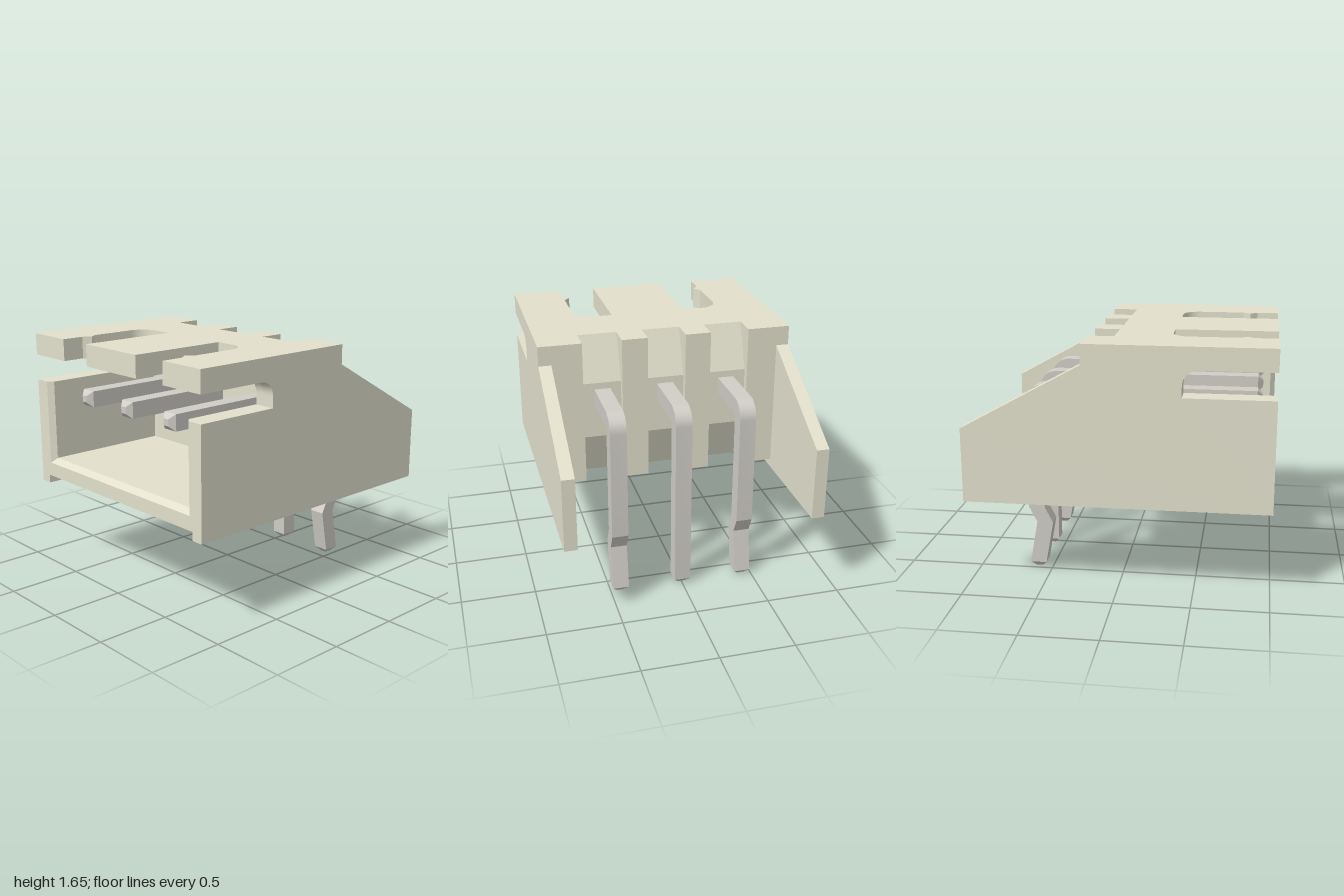
import * as THREE from 'three';
import { toCreasedNormals } from 'three/addons/utils/BufferGeometryUtils.js';

const plastic = new THREE.MeshStandardMaterial({ color: 0xe2e0cc });
const metal = new THREE.MeshStandardMaterial({ color: 0xd0cdc6 });

// points along an arc, angles in quarter turns
function arc(cx, cy, r, q0, q1, n = 10) {
  return Array.from({ length: n + 1 }, (_, i) => {
    const a = (q0 + (q1 - q0) * i / n) * Math.PI / 2;
    return [cx + r * Math.cos(a), cy + r * Math.sin(a)];
  });
}

function extrude(points, depth) {
  const shape = new THREE.Shape(points.map(p => new THREE.Vector2(p[0], p[1])));
  return new THREE.ExtrudeGeometry(shape, { depth, bevelEnabled: false });
}

// (z, y) outline extruded from x0 to x1
function alongX(points, x0, x1) {
  const g = extrude(points, x1 - x0).rotateY(-Math.PI / 2).translate(x1, 0, 0);
  return toCreasedNormals(g, 0.3);
}

// (x, z) outline extruded from y0 to y1
function alongY(points, y0, y1) {
  const g = extrude(points.map(([x, z]) => [x, -z]), y1 - y0).rotateX(-Math.PI / 2).translate(0, y0, 0);
  return toCreasedNormals(g, 0.3);
}

// square wire lofted through rings [z, y, normal angle, end scale]
function wire(rings, half) {
  const pos = [], idx = [];
  for (const [z, y, a, scale = 1] of rings) {
    for (const [u, v] of [[-1, -1], [1, -1], [1, 1], [-1, 1]]) {
      const n = v * half * scale;
      pos.push(u * half * scale, y + n * Math.sin(a), z + n * Math.cos(a));
    }
  }
  for (let i = 0; i < rings.length - 1; i++) {
    for (let j = 0; j < 4; j++) {
      const a = i * 4 + j, b = i * 4 + (j + 1) % 4;
      idx.push(a, b + 4, b, a, a + 4, b + 4);
    }
  }
  const e = (rings.length - 1) * 4;
  idx.push(0, 1, 2, 0, 2, 3, e, e + 2, e + 1, e, e + 3, e + 2);
  const g = new THREE.BufferGeometry();
  g.setAttribute('position', new THREE.Float32BufferAttribute(pos, 3));
  g.setIndex(idx);
  return toCreasedNormals(g, 0.3);
}

function pinGeometry(kinked) {
  const up = Math.PI / 2, half = 0.055, rings = [];
  // mating end with tapered tip
  rings.push([0.91, 1.25, up, 0.4], [0.875, 1.25, up]);
  // rounded right-angle bend
  const r = 0.065, cz = -0.6 + r, cy = 1.25 - r;
  for (const [z, y] of arc(cz, cy, r, 1, 2, 8)) rings.push([z, y, Math.atan2(y - cy, z - cz)]);
  // solder leg, with an offset kink on the outer pins
  if (kinked) rings.push([-0.6, 0.44, Math.PI], [-0.545, 0.333, Math.PI]);
  rings.push([-0.598, 0.035, Math.PI], [-0.598, 0, Math.PI, 0.4]);
  return wire(rings, half);
}

export function createModel() {
  const model = new THREE.Group();
  const add = (name, geometry, material = plastic) => {
    const m = new THREE.Mesh(geometry, material);
    m.name = name;
    model.add(m);
    return m;
  };

  // side walls with a latch slot at the front and a sloped rear wing
  const slotCorner = arc(0.515, 1.408, 0.1, 2, 1);
  const wall = [[1, 0.597], [1, 1.333], [0.415, 1.333], ...slotCorner, [1, 1.508], [1, 1.655],
    [-0.215, 1.655], [-0.215, 1.523], [-1, 1.09], [-1, 0.597]];
  const upper = [[-0.215, 1.333], [0.415, 1.333], ...slotCorner, [-0.215, 1.508]];
  for (const s of [-1, 1]) {
    const side = s < 0 ? 'right' : 'left';
    const span = (a, b) => (s > 0 ? [a, b] : [-b, -a]);
    add(side + 'Wall', alongX(wall, ...span(0.775, 0.86)));
    // inner thickness of the wall, chamfered at the mouth
    add(side + 'WallLining', alongY([[0.775, -0.2], [0.775, 1], [0.75, 1], [0.715, 0.965], [0.715, -0.2]]
      .map(([x, z]) => [s * x, z]), 0.655, 1.333));
    add(side + 'WallUpperLining', alongX(upper, ...span(0.715, 0.775)));
  }

  // floor with a chamfered front lip
  add('floor', alongX([[0.09, 0.655], [1, 0.655], [1, 0.75], [0.965, 0.785], [0.09, 0.785]], -0.775, 0.775));

  // roof with two keyed slots
  const half = [[0.26, 1], [0.26, 0.32], [0.4, 0.32], ...arc(0.4, 0.44, 0.12, -1, 0),
    [0.52, 0.75], [0.48, 0.8], [0.52, 0.85], [0.52, 1], [0.775, 1], [0.775, 0.09]];
  const mirrored = half.map(([x, z]) => [-x, z]).reverse();
  add('roof', alongY([...half, ...mirrored], 1.508, 1.655));

  // back wall, tapering away above and below the pins
  add('backWall', alongX([[0.09, 0.655], [0.09, 1.655], [-0.045, 1.655], [-0.165, 1.35],
    [-0.165, 0.96], [-0.045, 0.655]], -0.775, 0.775));

  // ribs between the pin recesses
  for (const [x0, x1] of [[-0.775, -0.57], [-0.305, -0.13], [0.13, 0.305], [0.57, 0.775]]) {
    add('backRib', new THREE.BoxGeometry(x1 - x0, 1, 0.215).translate((x0 + x1) / 2, 1.155, -0.1075));
  }

  // three bent contact pins
  for (const i of [-1, 0, 1]) {
    add('pin', pinGeometry(i !== 0), metal).position.x = i * 0.433;
  }
  return model;
}
